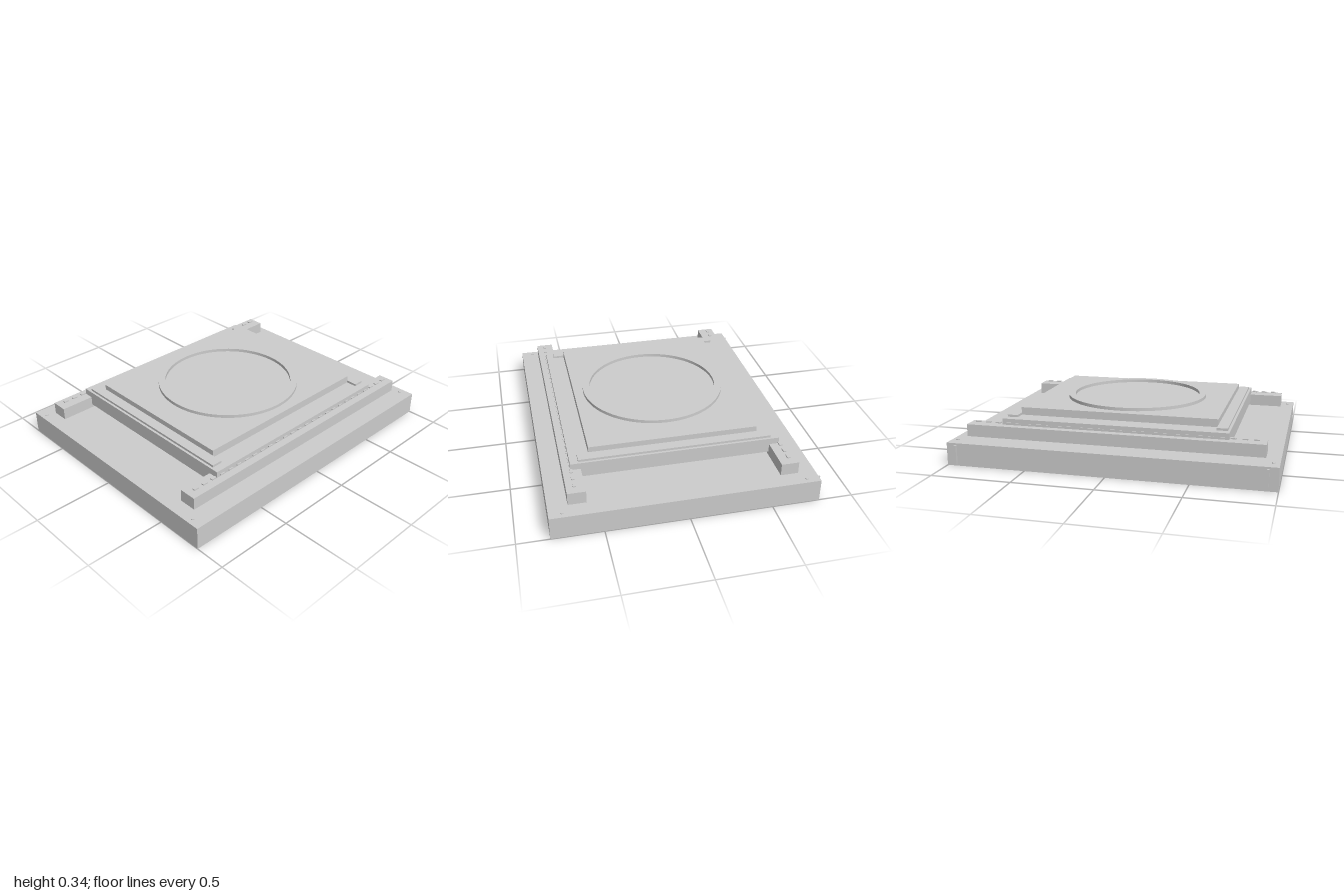
import * as THREE from 'three';

export function createModel() {
  const model = new THREE.Group();
  const body = new THREE.Group();
  body.name = 'body';
  body.position.z = 0.008; // leaves room for the rear tabs
  model.add(body);
  const grey = new THREE.MeshStandardMaterial({ color: 0xcccccc });
  grey.name = 'light grey';

  // Box given by its centre in x and z, and its bottom and top in y
  function box(name, width, depth, bottom, top, x = 0, z = 0) {
    const mesh = new THREE.Mesh(new THREE.BoxGeometry(width, top - bottom, depth), grey);
    mesh.name = name;
    mesh.position.set(x, (bottom + top) / 2, z);
    body.add(mesh);
  }

  // Stepped slabs
  box('base', 2, 1.6, 0, 0.142);
  box('carrierPlate', 1.4, 1.274, 0.178, 0.272);
  box('lid', 1.24, 1.036, 0.272, 0.32);

  for (const side of [-1, 1]) {
    box('sideStrip', 0.066, 1.176, 0.272, 0.286, side * 0.652);
    box('rail', 1.834, 0.108, 0.157, 0.233, 0, side * 0.63);
    box('rearTab', 0.012, 0.016, 0.01, 0.13, side * 0.94, -0.808);

    // Row of contact pads along each rail
    for (let i = -13; i <= 13; i++) {
      box('contactPad', 0.033, 0.018, 0.241, 0.248, i * 0.066, side * 0.635);
    }

    // Corner pins on the base
    for (const end of [-1, 1]) {
      const pin = new THREE.Mesh(new THREE.CylinderGeometry(0.01, 0.01, 0.006, 16), grey);
      pin.name = 'cornerPin';
      pin.position.set(side * 0.962, 0.144, end * 0.723);
      body.add(pin);
    }
  }

  // Raised ring on the lid
  const outline = new THREE.Shape().absarc(0, 0, 0.458, 0, Math.PI * 2);
  outline.holes.push(new THREE.Path().absarc(0, 0, 0.414, 0, Math.PI * 2, true));
  const ring = new THREE.Mesh(
    new THREE.ExtrudeGeometry(outline, { depth: 0.02, bevelEnabled: false, curveSegments: 64 }), grey);
  ring.name = 'ring';
  ring.rotation.x = -Math.PI / 2;
  ring.position.y = 0.32;
  body.add(ring);

  return model;
}
